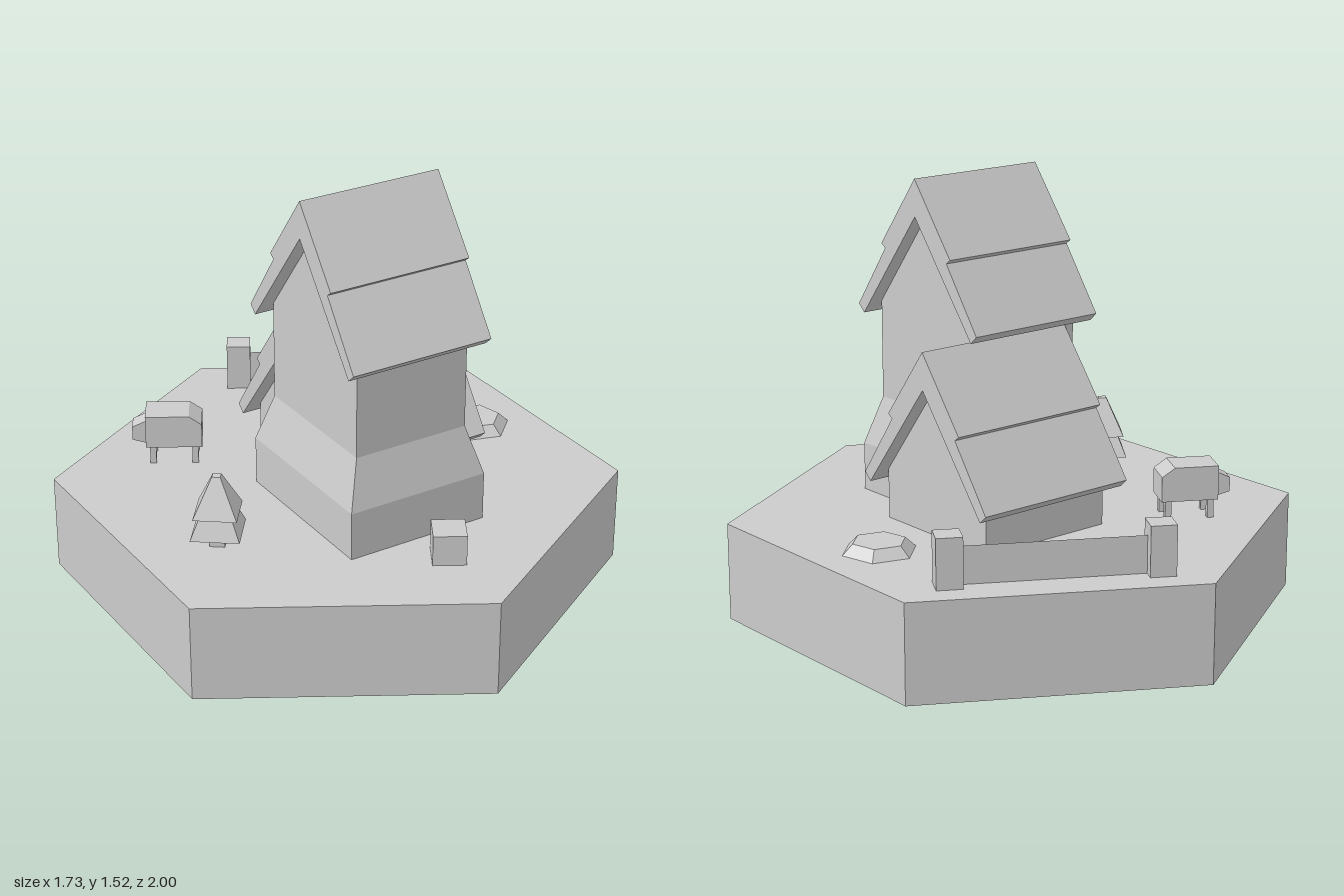
import * as THREE from 'three';

const GROUND = 0.347;
const TILT = -Math.PI / 6; // props are aligned with the hexagon's edges

const mat = new THREE.MeshStandardMaterial({ color: 0xcccccc, flatShading: true });
const matDouble = new THREE.MeshStandardMaterial({ color: 0xcccccc, flatShading: true, side: THREE.DoubleSide });

function add(parent, name, geo, x = 0, y = 0, z = 0, ry = 0, material = mat) {
  const m = new THREE.Mesh(geo, material);
  m.name = name;
  m.position.set(x, y, z);
  m.rotation.y = ry;
  parent.add(m);
  return m;
}

function group(parent, name, x, y, z, ry = 0) {
  const g = new THREE.Group();
  g.name = name;
  g.position.set(x, y, z);
  g.rotation.y = ry;
  parent.add(g);
  return g;
}

// Extrude an (x, y) profile, centred on its depth
function prism(points, depth) {
  const shape = new THREE.Shape(points.map(([x, y]) => new THREE.Vector2(x, y)));
  return new THREE.ExtrudeGeometry(shape, { depth, bevelEnabled: false }).translate(0, 0, -depth / 2);
}

// Symmetric profile from its right half, running along x
function mirroredPrism(outer, inner, length) {
  const flip = (pts) => pts.map(([x, y]) => [-x, y]).reverse();
  const pts = [...flip(outer), ...outer.slice(1), ...inner, ...flip(inner).slice(1)];
  return prism(pts, length).rotateY(Math.PI / 2);
}

// Box from y0 to y1 whose top is narrower than its bottom
function taperedBox(w, d, y0, y1, topW = w, topD = d) {
  const geo = new THREE.BoxGeometry(w, y1 - y0, d).translate(0, (y0 + y1) / 2, 0);
  const p = geo.attributes.position;
  for (let i = 0; i < p.count; i++) {
    if (p.getY(i) > (y0 + y1) / 2) {
      p.setX(i, p.getX(i) * topW / w);
      p.setZ(i, p.getZ(i) * topD / d);
    }
  }
  geo.computeVertexNormals();
  return geo;
}

// Gabled walls and a two-tier roof; heights measured from the ridge
function gabledHouse(parent, wallLength, roofLength, ridge, wallBase) {
  const walls = [[-0.265, wallBase], [0.265, wallBase], [0.265, ridge - 0.475], [0, ridge - 0.131], [-0.265, ridge - 0.475]];
  add(parent, 'gabledWalls', prism(walls, wallLength).rotateY(Math.PI / 2));
  const outer = [[0, 0], [0.19, -0.25], [0.17, -0.265], [0.328, -0.488]];
  const inner = [[0.298, -0.516], [0, -0.131]];
  add(parent, 'tieredRoof', mirroredPrism(outer, inner, roofLength), 0, ridge, 0);
}

export function createModel() {
  const model = new THREE.Group();
  model.name = 'hexagonVillage';

  add(model, 'hexagonBase', new THREE.CylinderGeometry(1, 1, GROUND, 6), 0, GROUND / 2, 0);

  // Tall house with a flared foot
  const house = group(model, 'mainHouse', 0, 0, 0.203);
  add(house, 'foot', taperedBox(0.53, 0.63, GROUND, 0.52));
  add(house, 'footSlope', taperedBox(0.53, 0.63, 0.52, 0.693, 0.43, 0.53));
  gabledHouse(house, 0.43, 0.535, 1.518, 0.693);

  // Lower wing behind it
  const wing = group(model, 'sideWing', 0.137, 0, -0.063);
  gabledHouse(wing, 0.515, 0.622, 0.997, GROUND);

  // Crate in front of the house
  add(model, 'crate', new THREE.BoxGeometry(0.114, 0.11, 0.114), 0.02, GROUND + 0.055, 0.67, TILT);

  // Fence along the back right edge
  const fence = group(model, 'fence', 0.364, GROUND, -0.638, TILT);
  for (const side of [-1, 1]) {
    add(fence, 'fencePost', new THREE.BoxGeometry(0.088, 0.174, 0.088), side * 0.347, 0.087, 0);
  }
  add(fence, 'fencePanel', new THREE.PlaneGeometry(0.61, 0.13), 0, 0.065, 0, 0, matDouble);

  // Flat boulder
  add(model, 'boulder', new THREE.CylinderGeometry(0.093, 0.13, 0.036, 6), 0.632, GROUND + 0.018, -0.058, 0.23);

  // Four-sided fir tree
  const tree = group(model, 'tree', -0.587, 0, 0.191, 0.14);
  for (const [name, top, bottom, y0, y1] of [
    ['trunk', 0.036, 0.036, GROUND, 0.4],
    ['lowerBranches', 0.075, 0.118, 0.397, 0.475],
    ['upperBranches', 0.02, 0.105, 0.472, 0.607],
  ]) {
    add(tree, name, new THREE.CylinderGeometry(top, bottom, y1 - y0, 4), 0, (y0 + y1) / 2, 0);
  }

  // Grazing animal, head towards -x
  const animal = group(model, 'animal', -0.418, GROUND, -0.43, TILT);
  add(animal, 'body', prism([[-0.1, 0.066], [0.1, 0.066], [0.1, 0.155], [0.055, 0.187], [-0.1, 0.187]], 0.125));
  add(animal, 'head', prism([[-0.148, 0.085], [-0.095, 0.07], [-0.095, 0.16], [-0.148, 0.135]], 0.07));
  for (const x of [-0.075, 0.075]) {
    for (const z of [-0.045, 0.045]) {
      add(animal, 'leg', new THREE.BoxGeometry(0.022, 0.07, 0.022), x, 0.035, z);
    }
  }

  return model;
}
